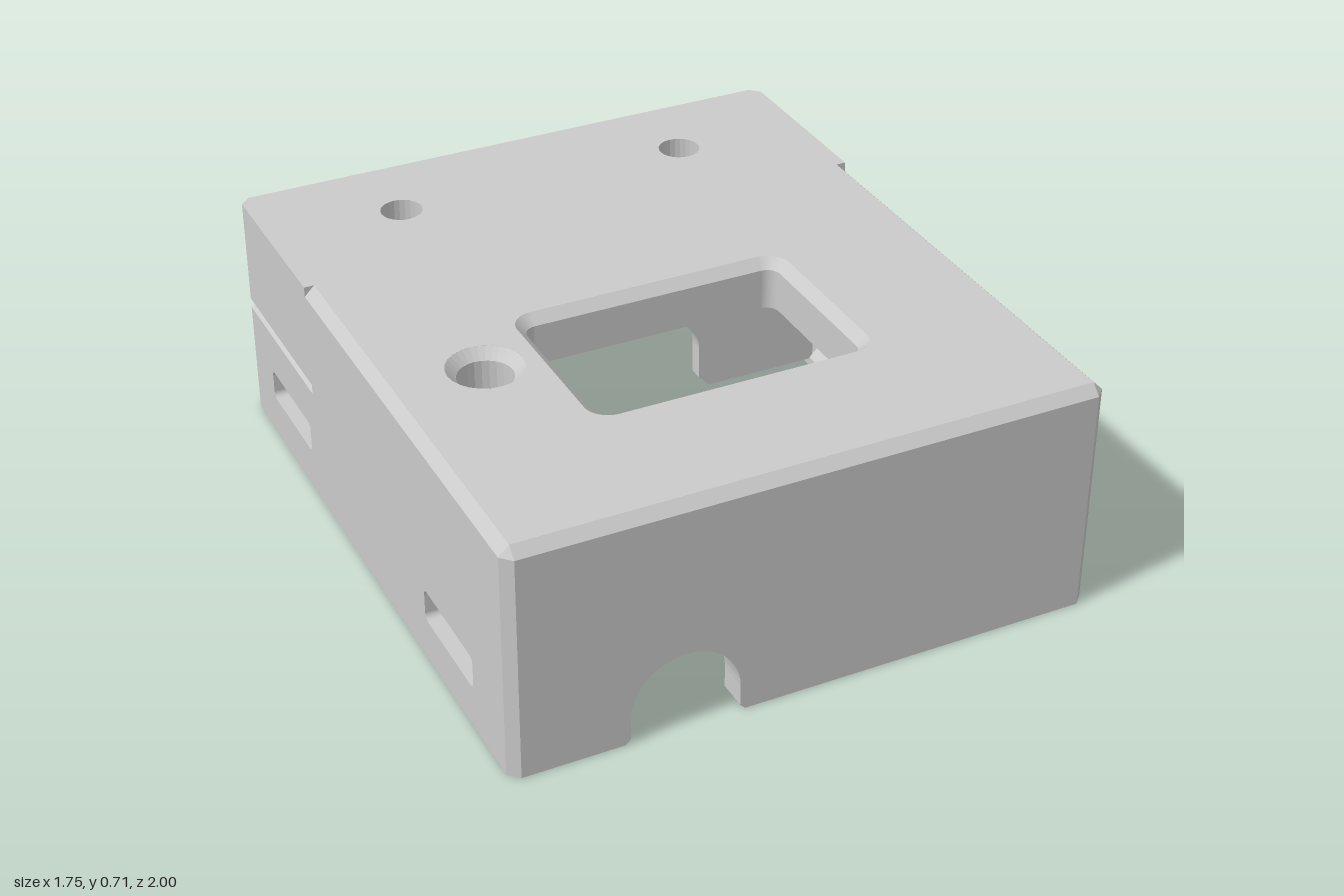
import * as THREE from 'three';

const W = 0.875, D = 1, C = 0.03, T = 0.09, REAR = 0.19, SHOULDER = -0.42;

export function createModel() {
  const group = new THREE.Group();
  group.name = 'enclosure';
  const grey = new THREE.MeshStandardMaterial({ color: 0xcacaca, side: THREE.DoubleSide });
  grey.name = 'plainGrey';

  const add = (name, geo) => {
    const mesh = new THREE.Mesh(geo, grey);
    mesh.name = name;
    group.add(mesh);
  };
  const poly = (pts) => new THREE.Shape(pts.map(([x, y]) => new THREE.Vector2(x, y)));
  const rect = (x0, x1, y0, y1) => poly([[x0, y0], [x1, y0], [x1, y1], [x0, y1]]);
  const circle = (x, y, r) => new THREE.Path().absarc(x, y, r, 0, Math.PI * 2);
  const rounded = (x0, x1, y0, y1, r) => {
    const p = new THREE.Path();
    p.absarc(x1 - r, y1 - r, r, 0, Math.PI / 2);
    p.absarc(x0 + r, y1 - r, r, Math.PI / 2, Math.PI);
    p.absarc(x0 + r, y0 + r, r, Math.PI, Math.PI * 1.5);
    p.absarc(x1 - r, y0 + r, r, Math.PI * 1.5, Math.PI * 2);
    p.closePath();
    return p;
  };
  const extrude = (shape, depth) =>
    new THREE.ExtrudeGeometry(shape, { depth, bevelEnabled: false, curveSegments: 12 });
  // Plan shapes use (x, -z) and rise from y0 to y1
  const plan = (name, shape, y0, y1) =>
    add(name, extrude(shape, y1 - y0).rotateX(-Math.PI / 2).translate(0, y0, 0));
  // Side shapes use (-z, y) and run from x0 to x1
  const side = (name, shape, x0, x1) =>
    add(name, extrude(shape, x1 - x0).rotateY(Math.PI / 2).translate(x0, 0, 0));
  const upright = (name, shape, z0, z1) =>
    add(name, extrude(shape, z1 - z0).translate(0, 0, z0));
  // Sloping strip joining two plan outlines
  const band = (name, low, high, y0, y1) => {
    const v = [];
    for (let i = 0; i + 1 < low.length; i++) {
      const a = [low[i][0], y0, -low[i][1]], b = [low[i + 1][0], y0, -low[i + 1][1]];
      const c = [high[i + 1][0], y1, -high[i + 1][1]], d = [high[i][0], y1, -high[i][1]];
      v.push(...a, ...b, ...c, ...a, ...c, ...d);
    }
    const g = new THREE.BufferGeometry();
    g.setAttribute('position', new THREE.Float32BufferAttribute(v, 3));
    g.computeVertexNormals();
    add(name, g);
  };

  // Top plate, upper layer stepped in along the front and sides
  const screwHoles = () => [-1, 1].map((s) => circle(s * 0.46, 0.73, 0.063));
  const windowWide = () => rounded(-0.425, 0.425, -0.56, 0.018, 0.07);
  const windowNarrow = () => rounded(-0.395, 0.395, -0.53, -0.012, 0.04);
  const portWide = () => circle(-0.58, -0.193, 0.11);
  const portNarrow = () => circle(-0.58, -0.193, 0.08);
  const upper = poly([[-W + C, -D + C], [W - C, -D + C], [W - C, -SHOULDER], [W, -SHOULDER],
    [W, D - C], [W - C, D], [-W + C, D], [-W, D - C], [-W, -SHOULDER], [-W + C, -SHOULDER]]);
  upper.holes.push(windowWide(), portWide(), ...screwHoles());
  plan('topPlate', upper, 0.685, 0.715);
  const lower = rect(-W + T, W - T, -D + T, D - T);
  lower.holes.push(windowNarrow(), portNarrow(), ...screwHoles());
  plan('ceilingPlate', lower, 0.56, 0.685);

  // Bevels around the top edge and the openings
  const xy = (path) => path.getPoints(16).map((p) => [p.x, p.y]);
  band('topBevel',
    [[-W, -SHOULDER], [-W, -D + C], [-W + C, -D], [W - C, -D], [W, -D + C], [W, -SHOULDER]],
    [[-W + C, -SHOULDER], [-W + C, -D + C], [-W + C, -D + C], [W - C, -D + C], [W - C, -D + C], [W - C, -SHOULDER]],
    0.685, 0.715);
  band('windowBevel', xy(windowNarrow()), xy(windowWide()), 0.685, 0.715);
  band('portBevel', xy(portNarrow()), xy(portWide()), 0.685, 0.715);

  // Bevelled groove round the rear half
  band('grooveBevel',
    [[-W, -SHOULDER], [-W, D - C], [-W + C, D], [W - C, D], [W, D - C], [W, -SHOULDER]],
    [[-W + C, -SHOULDER], [-W + C, D - C], [-W + C, D - C], [W - C, D - C], [W - C, D - C], [W - C, -SHOULDER]],
    0.36, 0.39);

  // Side walls: grooved skin over a plain core, both slotted
  const slots = () => [rounded(-0.765, -0.43, 0.13, 0.23, 0.02), rounded(0.47, 0.805, 0.13, 0.225, 0.02)];
  for (const s of [-1, 1]) {
    const name = s > 0 ? 'left' : 'right';
    const span = (a, b) => [Math.min(s * a, s * b), Math.max(s * a, s * b)];
    const skin = poly([[-D + C, 0], [D - C, 0], [D - C, 0.36], [-SHOULDER, 0.36], [-SHOULDER, 0.39],
      [D - C, 0.39], [D - C, 0.715], [-SHOULDER, 0.715], [-SHOULDER, 0.685], [-D + C, 0.685]]);
    skin.holes.push(...slots());
    side(name + 'WallSkin', skin, ...span(W - C, W));
    const core = rect(-D + C, D - C, 0, 0.685);
    core.holes.push(...slots());
    side(name + 'WallCore', core, ...span(W - T, W - C));

    // Chamfered corner posts
    const post = (f) => poly([[s * (W - C), f * (D - C)], [s * W, f * (D - C)], [s * (W - C), f * D]]);
    plan(name + 'FrontCorner', post(-1), 0, 0.685);
    plan(name + 'RearCornerLower', post(1), 0, 0.36);
    plan(name + 'RearCornerUpper', post(1), 0.39, 0.715);

    // Chamfered bars along the foot of the wall: start, end, inner x, underside, top
    for (const [z0, z1, inner, y0, y1] of [
      [-D + REAR, -0.46, 0.54, 0.035, 0.125],
      [-0.35, 0.38, 0.735, 0, 0.12],
      [0.43, 0.77, 0.7, 0.02, 0.125],
    ]) {
      const x = s * (W - T), e = s * inner, c = s * 0.03;
      upright(name + 'FootBar', poly([[x, y0], [e + c, y0], [e, y0 + 0.03],
        [e, y1 - 0.03], [e + c, y1], [x, y1]]), z0, z1);
    }
  }

  // Front wall with arched cable notch
  const front = new THREE.Shape();
  front.moveTo(-W + C, 0);
  front.lineTo(-0.55, 0);
  front.lineTo(-0.535, 0.015);
  front.lineTo(-0.535, 0.08);
  front.absarc(-0.375, 0.08, 0.16, Math.PI, 0, true);
  front.lineTo(-0.215, 0.015);
  front.lineTo(-0.2, 0);
  front.lineTo(W - C, 0);
  front.lineTo(W - C, 0.685);
  front.lineTo(-W + C, 0.685);
  upright('frontWall', front, D - T, D);

  // Cross wall with a wide rounded opening and optional raised foot
  const arch = (top, foot) => {
    const w = 0.38, h = 0.295, r = 0.12, s = new THREE.Shape();
    s.moveTo(-W + C, foot);
    s.lineTo(-w - foot, foot);
    s.lineTo(-w, foot * 2);
    s.absarc(-w + r, h - r, r, Math.PI, Math.PI / 2, true);
    s.absarc(w - r, h - r, r, Math.PI / 2, 0, true);
    s.lineTo(w, foot * 2);
    s.lineTo(w + foot, foot);
    s.lineTo(W - C, foot);
    s.lineTo(W - C, top);
    s.lineTo(-W + C, top);
    return s;
  };
  // Rear wall, split by the groove, and the matching web ahead of the slots
  upright('innerWeb', arch(0.56, 0.037), -0.465, SHOULDER);
  upright('rearWallInner', arch(0.56, 0.037), -D + 0.15, -D + REAR);
  upright('rearWallCore', arch(0.685, 0), -D + C, -D + 0.15);
  upright('rearWallSkinLower', arch(0.36, 0), -D, -D + C);
  upright('rearWallSkinUpper', rect(-W + C, W - C, 0.39, 0.715), -D, -D + C);

  // Thickened ceiling at the rear and the shoulder inside the front wall
  const shelf = rect(-W + T, W - T, 0.46, D - REAR);
  shelf.holes.push(...screwHoles());
  plan('rearShelf', shelf, 0.295, 0.56);
  plan('frontShoulder', rect(-W + T, W - T, -D + T, -0.57), 0.46, 0.56);

  return group;
}
